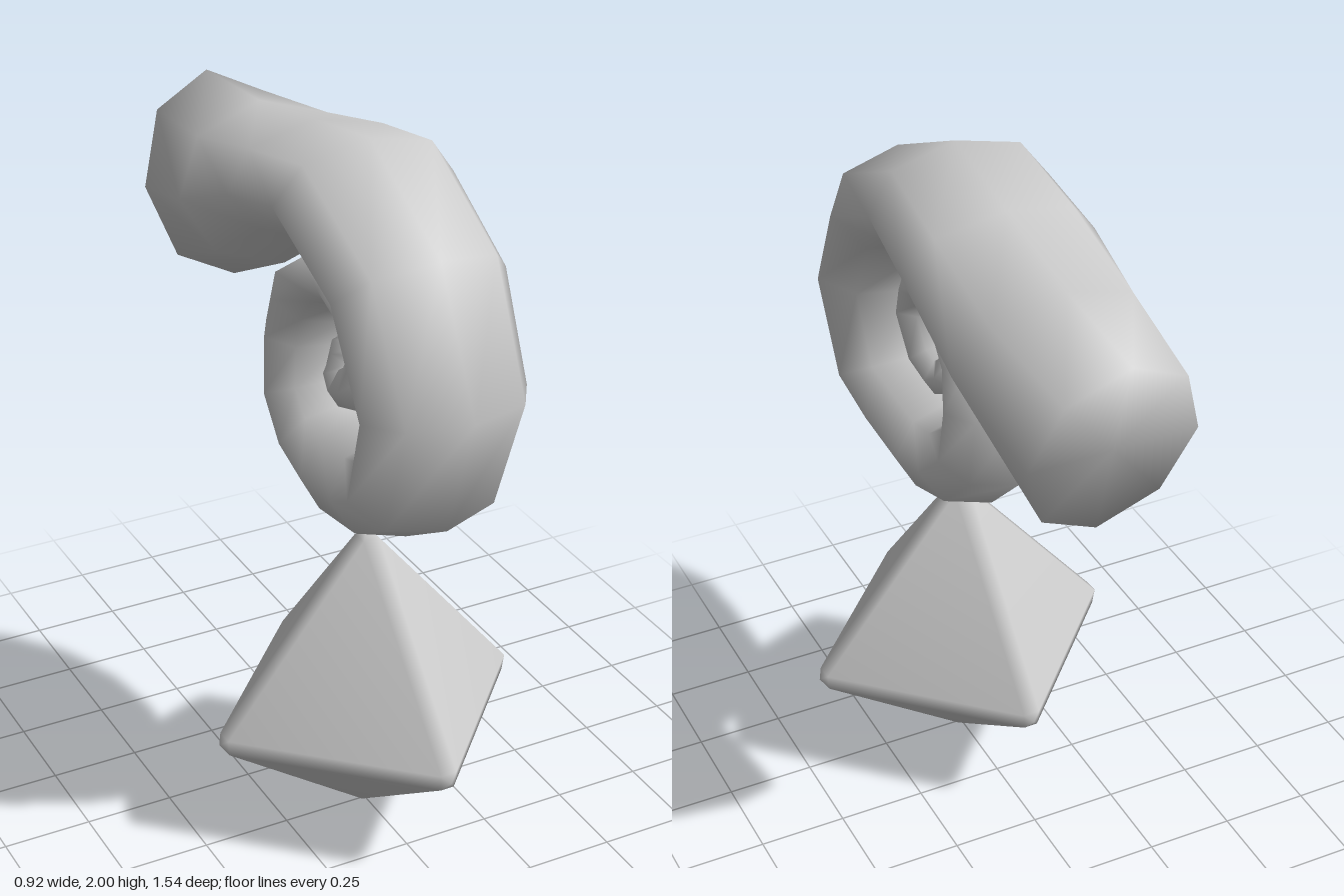
import * as THREE from 'three';
import { ConvexGeometry } from 'three/addons/geometries/ConvexGeometry.js';
import { mergeVertices } from 'three/addons/utils/BufferGeometryUtils.js';

const SIDES = 8;
const HORN_X = 0.02;

// Horn stations from mouth to tip: z, y, radius in the coil plane, half width in x
const STATIONS = [
  [-0.69, 1.575, 0.295, 0.235],
  [-0.355, 1.67, 0.225, 0.278],
  [-0.05, 1.80, 0.15, 0.278],
  [0.18, 1.85, 0.15, 0.262],
  [0.475, 1.70, 0.153, 0.25],
  [0.613, 1.43, 0.155, 0.24],
  [0.52, 1.16, 0.147, 0.225],
  [0.385, 1.09, 0.145, 0.205],
  [0.2, 1.06, 0.148, 0.195],
  [0.06, 1.10, 0.135, 0.19],
  [-0.05, 1.20, 0.13, 0.18],
  [-0.065, 1.36, 0.125, 0.17],
  [-0.04, 1.48, 0.115, 0.16],
  [0.065, 1.57, 0.085, 0.15],
  [0.19, 1.597, 0.073, 0.14],
  [0.30, 1.535, 0.08, 0.13],
  [0.335, 1.44, 0.083, 0.125],
  [0.265, 1.33, 0.082, 0.12],
  [0.19, 1.30, 0.076, 0.11],
  [0.145, 1.33, 0.073, 0.1],
  [0.15, 1.385, 0.06, 0.08],
  [0.185, 1.405, 0.035, 0.045],
];

// Coiled horn: oval eight-sided rings swept along a flat spiral, closed at both ends
function hornGeometry() {
  const positions = [];
  const index = [];
  const last = STATIONS.length - 1;
  STATIONS.forEach(([z, y, r, w], i) => {
    const a = STATIONS[Math.max(i - 1, 0)];
    const b = STATIONS[Math.min(i + 1, last)];
    const len = Math.hypot(b[0] - a[0], b[1] - a[1]);
    const tz = (b[0] - a[0]) / len;
    const ty = (b[1] - a[1]) / len;
    for (let j = 0; j < SIDES; j++) {
      const angle = (j / SIDES) * Math.PI * 2;
      const out = r * Math.cos(angle);
      positions.push(HORN_X + w * Math.sin(angle), y + tz * out, z - ty * out);
    }
  });
  const mouth = positions.length / 3;
  const tip = mouth + 1;
  positions.push(HORN_X, STATIONS[0][1], STATIONS[0][0]);
  positions.push(HORN_X, STATIONS[last][1] + 0.01, STATIONS[last][0] + 0.02);
  for (let j = 0; j < SIDES; j++) {
    const k = (j + 1) % SIDES;
    for (let i = 0; i < last; i++) {
      const p = i * SIDES;
      const q = p + SIDES;
      index.push(p + j, q + j, p + k, p + k, q + j, q + k);
    }
    index.push(mouth, j, k);
    index.push(tip, last * SIDES + k, last * SIDES + j);
  }
  const geometry = new THREE.BufferGeometry();
  geometry.setAttribute('position', new THREE.Float32BufferAttribute(positions, 3));
  geometry.setIndex(index);
  geometry.computeVertexNormals();
  return geometry;
}

// Octahedron with softened edges: each flat face is pushed out from an inner core
function gemGeometry() {
  const bevel = 0.04;
  const half = 0.42;
  const points = [];
  for (const [height, up] of [[0.51, 1], [0.295, -1]]) {
    points.push(new THREE.Vector3(0, up * (height + bevel), 0));
    for (const sx of [-1, 1]) {
      for (const sz of [-1, 1]) {
        const push = new THREE.Vector3(sx / half, up / height, sz / half).setLength(bevel);
        points.push(new THREE.Vector3(sx * half, 0, 0).add(push));
        points.push(new THREE.Vector3(0, up * height, 0).add(push));
        points.push(new THREE.Vector3(0, 0, sz * half).add(push));
      }
    }
  }
  for (const s of [-1, 1]) {
    points.push(new THREE.Vector3(s * (half + bevel), 0, 0));
    points.push(new THREE.Vector3(0, 0, s * (half + bevel)));
  }
  let geometry = new ConvexGeometry(points);
  geometry.deleteAttribute('normal');
  geometry = mergeVertices(geometry);
  geometry.computeVertexNormals();
  return geometry;
}

export function createModel() {
  const model = new THREE.Group();
  const material = new THREE.MeshStandardMaterial({ color: 0xcccccc });

  const horn = new THREE.Mesh(hornGeometry(), material);
  horn.name = 'coiledHorn';

  const gem = new THREE.Mesh(gemGeometry(), material);
  gem.name = 'octahedronGem';
  gem.position.set(0, 0.335, 0.25);
  gem.rotation.y = 0.033;

  model.add(horn, gem);
  return model;
}
